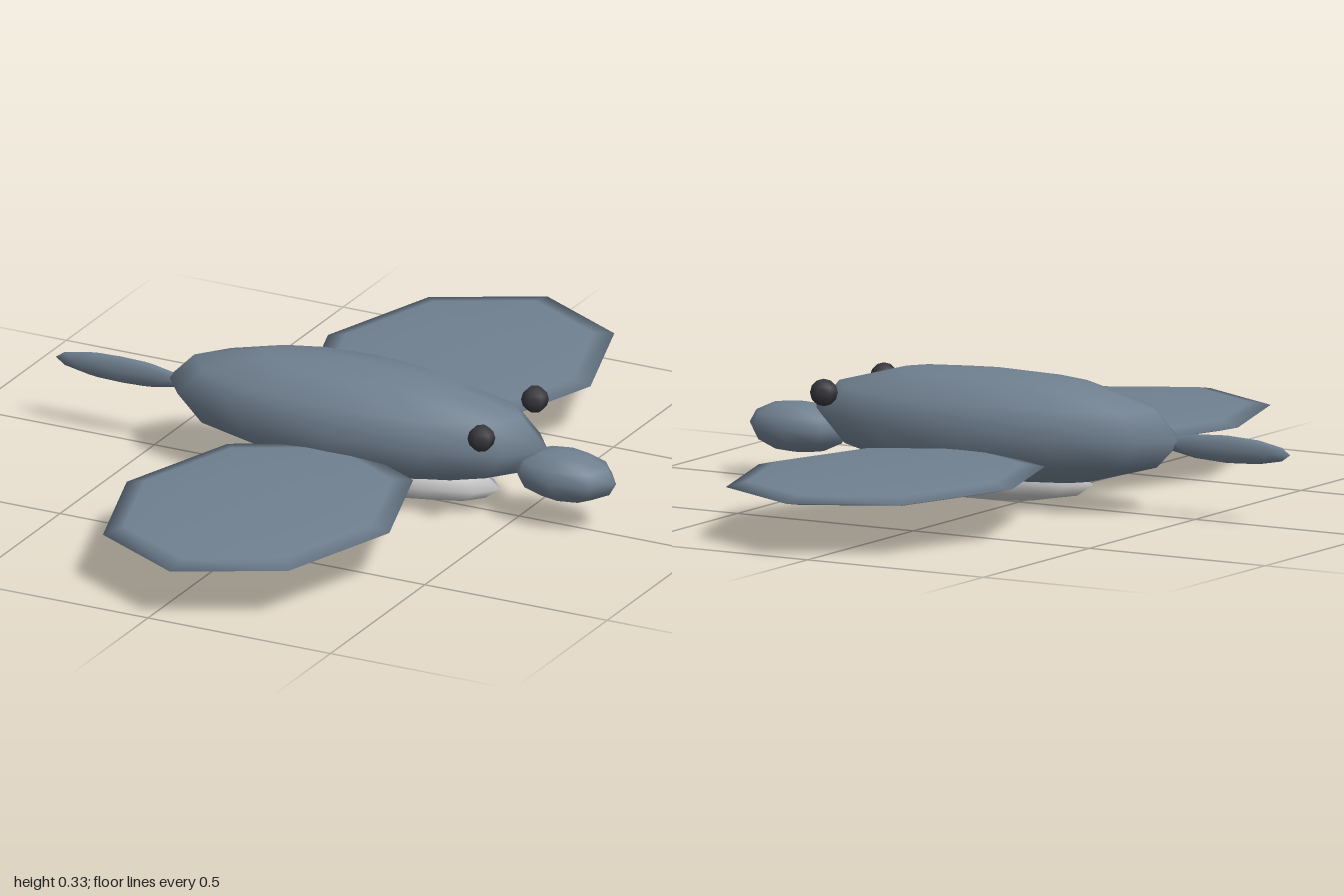
import * as THREE from 'three';

const slate = new THREE.MeshStandardMaterial({ color: 0x708090 });
const pale = new THREE.MeshStandardMaterial({ color: 0xdcdcdc });
const dark = new THREE.MeshStandardMaterial({ color: 0x36363c });

// Smooth low-poly ellipsoid with its poles on y
function ellipsoid(name, material, sides, rings, radii, position) {
  const geometry = new THREE.SphereGeometry(1, sides, rings);
  geometry.scale(...radii);
  const mesh = new THREE.Mesh(geometry, material);
  mesh.name = name;
  mesh.position.set(...position);
  return mesh;
}

export function createModel() {
  // The animal is laid out along z, then turned so its head points to +x
  const bird = new THREE.Group();
  bird.name = 'bird';
  bird.rotation.y = Math.PI / 2;

  bird.add(
    ellipsoid('body', slate, 12, 6, [0.18, 0.14, 0.52], [0, 0.188, 0.06]),
    ellipsoid('belly', pale, 12, 6, [0.1, 0.06, 0.33], [0, 0.06, 0.12]),
    ellipsoid('head', slate, 8, 6, [0.082, 0.064, 0.14], [0, 0.133, 0.626]),
    ellipsoid('tail', slate, 8, 6, [0.017, 0.034, 0.18], [0, 0.181, -0.59])
  );

  // Wings and eyes, mirrored
  for (const s of [-1, 1]) {
    const side = s > 0 ? 'right' : 'left';
    bird.add(
      ellipsoid(side + 'Wing', slate, 8, 6, [0.467, 0.023, 0.36], [s * 0.533, 0.133, 0.06]),
      ellipsoid(side + 'Eye', dark, 6, 6, [0.034, 0.034, 0.034], [s * 0.142, 0.25, 0.47])
    );
  }

  const model = new THREE.Group();
  model.name = 'model';
  model.add(bird);
  return model;
}
